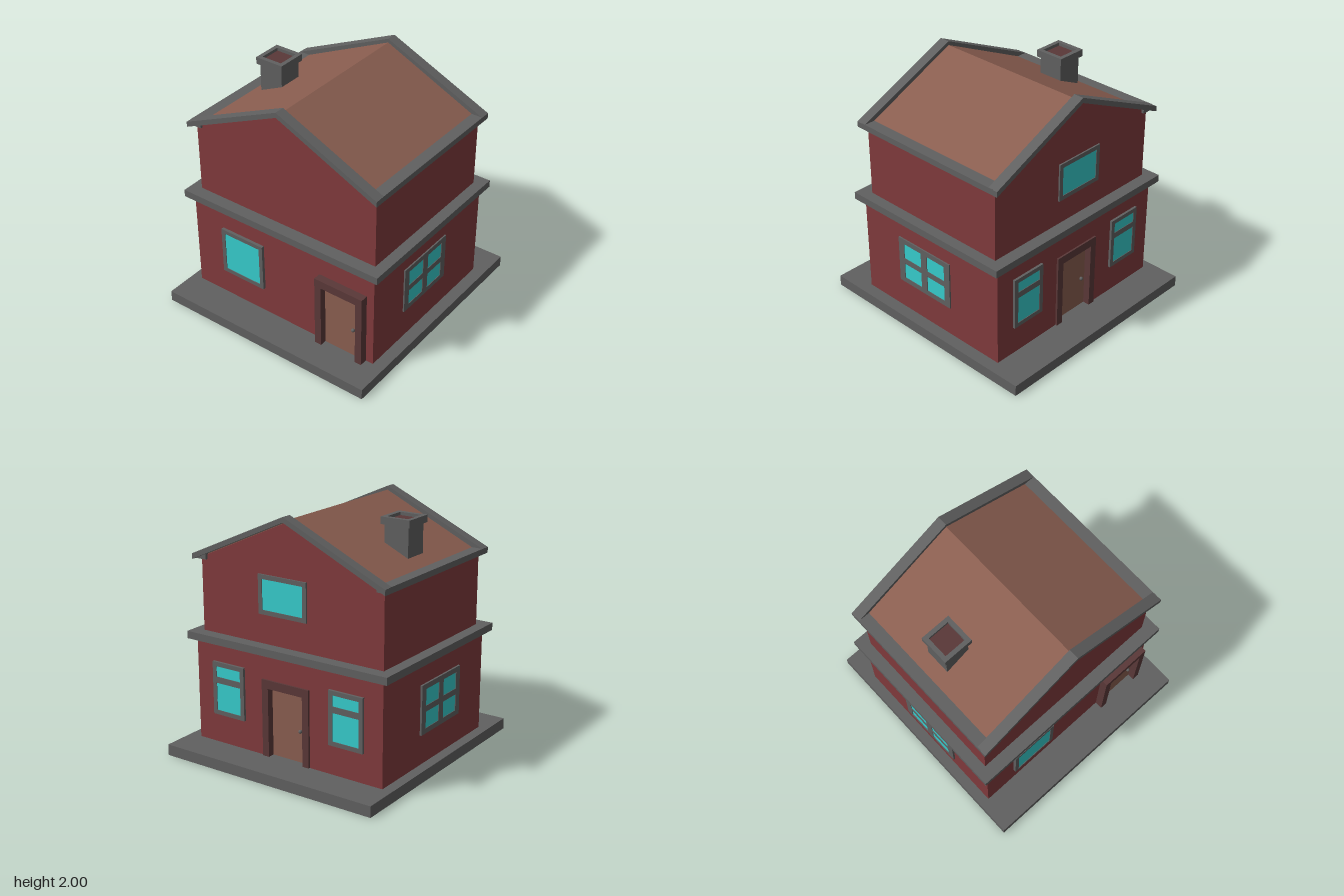
import * as THREE from 'three';

const mat = (name, color) => {
  const m = new THREE.MeshStandardMaterial({ color });
  m.name = name;
  return m;
};

export function createModel() {
  const house = new THREE.Group();
  house.name = 'house';
  const wall = mat('brick red', 0x803a3c);
  const trim = mat('grey trim', 0x606060);
  const brown = mat('light brown', 0x8a5e50);
  const dark = mat('dark brown', 0x5a3838);
  const glass = mat('cyan glass', 0x36cccc);

  const add = (name, geo, material, parent = house) => {
    const m = new THREE.Mesh(geo, material);
    m.name = name;
    parent.add(m);
    return m;
  };
  // Box given by its minimum and maximum corners
  const box = (name, material, [x0, y0, z0], [x1, y1, z1], parent) => {
    const g = new THREE.BoxGeometry(x1 - x0, y1 - y0, z1 - z0);
    g.translate((x0 + x1) / 2, (y0 + y1) / 2, (z0 + z1) / 2);
    return add(name, g, material, parent);
  };
  const outline = (pts, Type = THREE.Shape) => new Type(pts.map(([x, y]) => new THREE.Vector2(x, y)));
  const rect = (x0, y0, x1, y1, Type) => outline([[x0, y0], [x1, y0], [x1, y1], [x0, y1]], Type);
  // Outline extruded from z0 to z1
  const extrude = (shape, z0, z1) => {
    const g = new THREE.ExtrudeGeometry(shape, { depth: z1 - z0, bevelEnabled: false });
    g.translate(0, 0, z0);
    return g;
  };

  // Base slab, lower storey and belt
  box('base', trim, [-0.958, 0, -1], [0.955, 0.09, 1]);
  box('lowerWalls', wall, [-0.875, 0.09, -0.67], [0.855, 0.95, 0.72]);
  // Back wall with a notch for the recessed door
  add('backWall', extrude(outline([
    [-0.875, 0.09], [-0.225, 0.09], [-0.225, 0.715], [0.215, 0.715],
    [0.215, 0.09], [0.855, 0.09], [0.855, 0.95], [-0.875, 0.95],
  ]), -0.72, -0.67), wall);
  box('belt', trim, [-0.935, 0.918, -0.77], [0.915, 0.978, 0.775]);

  // Upper storey with gables
  const ridge = -0.01;
  add('upperWalls', extrude(outline([
    [-0.845, 0.97], [0.825, 0.97], [0.825, 1.57], [ridge, 1.95], [-0.845, 1.57],
  ]), -0.67, 0.67), wall);

  // Roof: recessed panel framed by rakes and eaves
  const chevron = (half, eaveLow, eaveTop, low, top) => outline([
    [ridge - half, eaveLow], [ridge, low], [ridge + half, eaveLow],
    [ridge + half, eaveTop], [ridge, top], [ridge - half, eaveTop],
  ]);
  add('roofPanel', extrude(chevron(0.785, 1.58, 1.602, 1.94, 1.965), -0.66, 0.66), brown);
  for (const [name, z] of [['backRake', -0.735], ['frontRake', 0.65]]) {
    add(name, extrude(chevron(0.88, 1.555, 1.6, 1.955, 1.997), z, z + 0.085), trim);
  }
  box('rightEave', trim, [-0.89, 1.555, -0.69], [-0.79, 1.602, 0.69]);
  box('leftEave', trim, [0.77, 1.555, -0.69], [0.87, 1.602, 0.69]);

  // Chimney with an open cap
  const chimney = new THREE.Group();
  chimney.name = 'chimney';
  chimney.position.set(-0.578, 0, -0.004);
  house.add(chimney);
  box('chimneyStack', trim, [-0.104, 1.6, -0.104], [0.104, 1.9, 0.104], chimney);
  const capShape = rect(-0.125, -0.125, 0.125, 0.125);
  capShape.holes.push(rect(-0.09, -0.09, 0.09, 0.09, THREE.Path));
  const cap = extrude(capShape, 1.89, 1.947);
  cap.rotateX(-Math.PI / 2);
  add('chimneyCap', cap, trim, chimney);
  box('flue', dark, [-0.095, 1.9, -0.095], [0.095, 1.922, 0.095], chimney);

  // Windows: frame with pane openings [x0, y0, x1, y1] and glass behind them
  const addWindow = (name, w, h, panes, depth, pos, turn) => {
    const g = new THREE.Group();
    g.name = name;
    g.position.set(...pos);
    g.rotation.y = turn;
    const frame = rect(-w / 2, -h / 2, w / 2, h / 2);
    for (const p of panes) frame.holes.push(rect(...p, THREE.Path));
    add('windowFrame', extrude(frame, 0, depth), trim, g);
    box('glass', glass, [-w / 2 + 0.01, -h / 2 + 0.01, depth - 0.011],
      [w / 2 - 0.01, h / 2 - 0.01, depth - 0.005], g);
    house.add(g);
  };
  const single = (w, h, b) => [[b - w / 2, b - h / 2, w / 2 - b, h / 2 - b]];
  const cross = [];
  for (const [x0, x1] of [[-0.222, -0.032], [0.032, 0.222]]) {
    for (const [y0, y1] of [[-0.158, -0.024], [0.024, 0.158]]) cross.push([x0, y0, x1, y1]);
  }
  const sash = [[-0.117, -0.182, 0.117, 0.045], [-0.117, 0.095, 0.117, 0.182]];
  addWindow('frontWindow', 0.41, 0.41, single(0.41, 0.41, 0.034), 0.025, [-0.39, 0.526, 0.72], 0);
  addWindow('leftWindow', 0.56, 0.4, cross, 0.014, [0.853, 0.543, 0.054], Math.PI / 2);
  addWindow('rightWindow', 0.56, 0.4, cross, 0.016, [-0.884, 0.543, 0.054], -Math.PI / 2);
  addWindow('backLeftWindow', 0.305, 0.435, sash, 0.02, [0.54, 0.548, -0.72], Math.PI);
  addWindow('backRightWindow', 0.305, 0.435, sash, 0.02, [-0.56, 0.548, -0.72], Math.PI);
  addWindow('backUpperWindow', 0.44, 0.308, single(0.44, 0.308, 0.035), 0.013, [0.005, 1.388, -0.727], Math.PI);

  // Doors: surround, panel and knob
  const addDoor = (name, pos, turn) => {
    const g = new THREE.Group();
    g.name = name;
    g.position.set(...pos);
    g.rotation.y = turn;
    add('doorSurround', extrude(outline([
      [-0.218, 0.09], [-0.16, 0.09], [-0.16, 0.648], [0.16, 0.648],
      [0.16, 0.09], [0.218, 0.09], [0.218, 0.716], [-0.218, 0.716],
    ]), 0, 0.065), dark, g);
    box('doorPanel', brown, [-0.165, 0.09, 0], [0.165, 0.655, 0.008], g);
    const knob = add('doorKnob', new THREE.SphereGeometry(0.015, 16, 12), trim, g);
    knob.position.set(0.11, 0.348, 0.02);
    house.add(g);
  };
  addDoor('frontDoor', [0.572, 0, 0.72], 0);
  addDoor('backDoor', [-0.005, 0, -0.67], Math.PI);

  return house;
}
